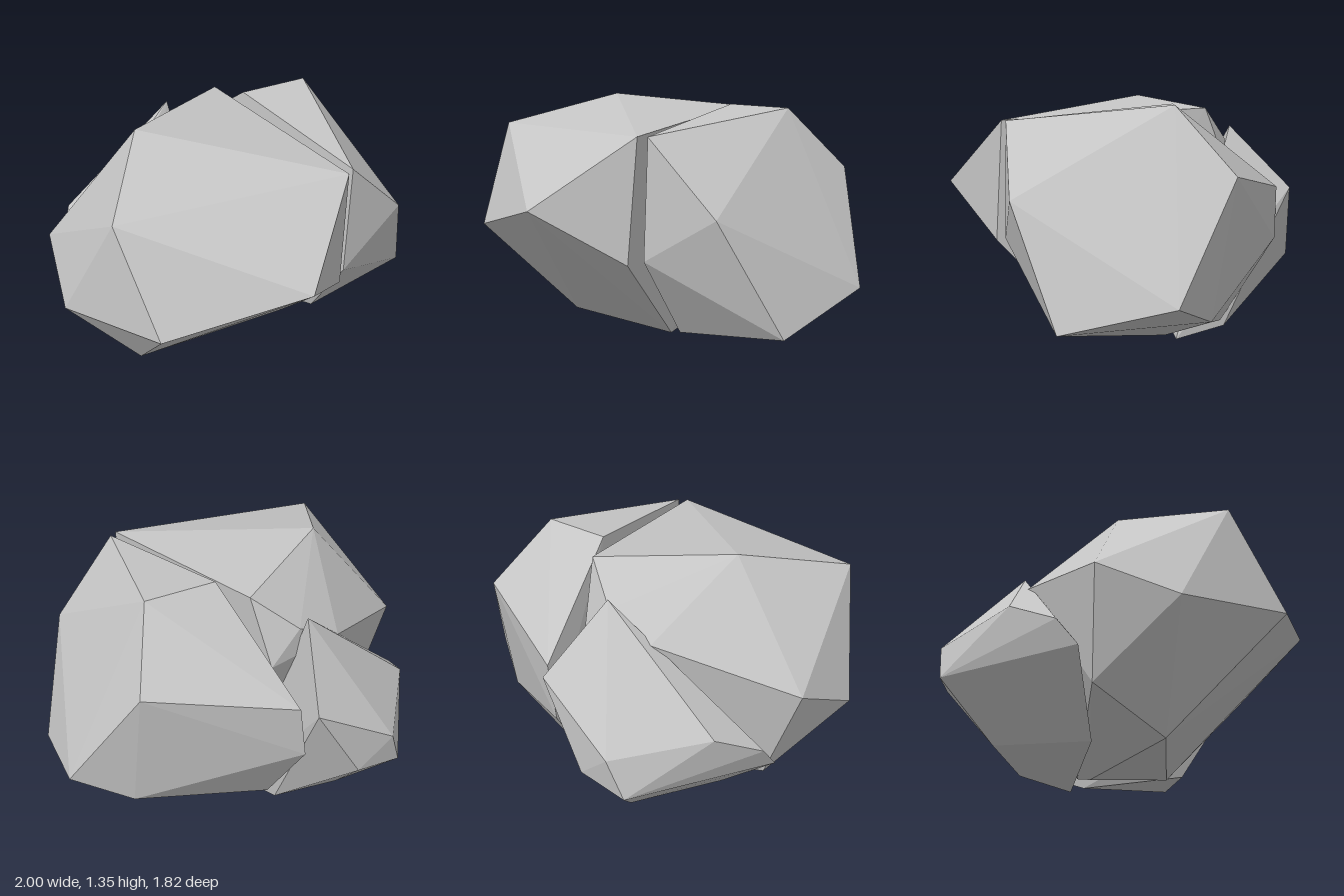
import * as THREE from 'three';
import { ConvexGeometry } from 'three/addons/geometries/ConvexGeometry.js';

// One faceted stone shard: the convex hull of its corner points
function shard(name, corners, material) {
  const points = corners.map(([x, y, z]) => new THREE.Vector3(x, y, z));
  const mesh = new THREE.Mesh(new ConvexGeometry(points), material);
  mesh.name = name;
  return mesh;
}

export function createModel() {
  const stone = new THREE.MeshStandardMaterial({ color: 0xc5c5c5 });
  stone.name = 'light grey stone';
  const group = new THREE.Group();
  group.name = 'splitBoulder';

  // Large front piece
  group.add(shard('frontShard', [
    [-0.51, 1.35, 0.05], [-0.65, 1.20, 0.67], [0.505, 1.24, 0.44], [-0.04, 1.295, -0.49], // top
    [0.25, 0.88, 0.905], [-0.47, 0.67, 0.90], [0.49, 0.61, 0.49],                       // front
    [-0.93, 0.59, 0.48], [-1.00, 0.78, 0.09], [-0.82, 0.26, 0.03],                      // side
    [-0.51, 1.00, -0.45], [-0.28, 1.12, -0.54], [-0.13, 0.95, -0.60],                   // back
    [-0.57, 0.05, 0.31], [0.25, 0.12, 0.11], [-0.15, 0.025, -0.20], [-0.12, 0.045, -0.28], // underside
  ], stone));

  // Piece on the +x side of the long crack
  group.add(shard('sideShard', [
    [0.10, 1.32, -0.35], [0.46, 1.325, -0.47], [0.535, 1.24, 0.40],                     // top
    [0.86, 0.88, 0.22], [1.00, 0.29, -0.08], [0.90, 0.44, -0.63], [0.525, 0.63, 0.42],  // side
    [0.54, 1.00, -0.80], [-0.21, 0.87, -0.85], [-0.25, 0.58, -0.84], [0.59, 0.31, -0.70], // back
    [0.43, 0.19, 0.16], [0.04, 0.045, -0.30], [-0.14, 0.11, -0.57],                     // underside
  ], stone));

  // Small back piece
  group.add(shard('backShard', [
    [-0.31, 1.19, -0.56], [-0.28, 0.86, -0.91], [-0.92, 0.66, -0.36],                   // top
    [-0.97, 0.53, -0.10], [-0.94, 0.40, 0.00],                                          // side
    [-0.71, 0.60, -0.82], [-0.78, 0.40, -0.77], [-0.53, 0.44, -0.86],                   // back
    [-0.18, 0.07, -0.58], [-0.52, 0.12, -0.585], [-0.05, 0.00, -0.34], [-0.575, 0.07, -0.05], // underside
  ], stone));

  return group;
}
